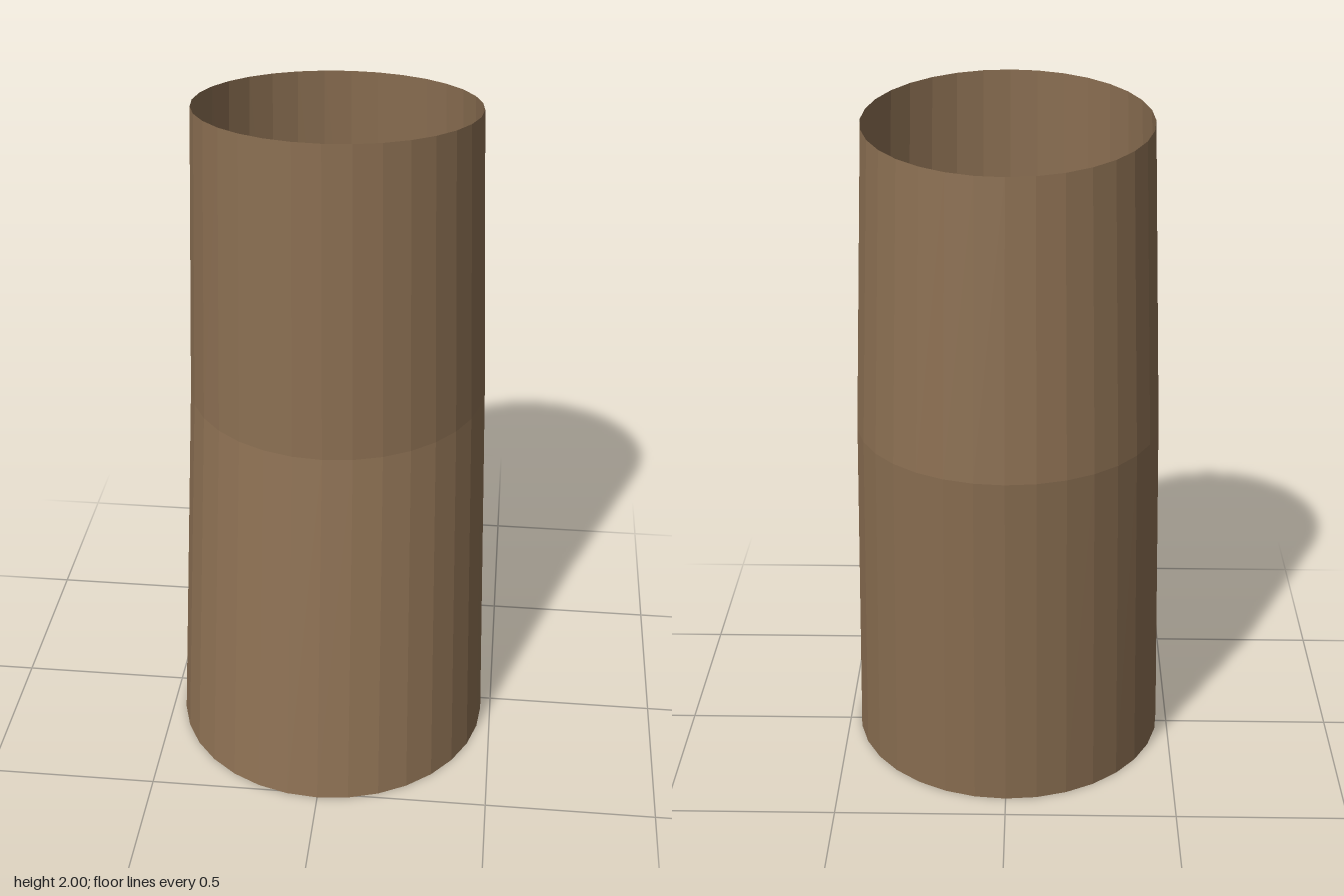
import * as THREE from 'three';

export function createModel() {
  const group = new THREE.Group();
  group.name = 'hollowTrunk';

  const bark = new THREE.MeshStandardMaterial({ color: 0x8b6f52, flatShading: true, side: THREE.DoubleSide });
  bark.name = 'bark brown';

  // Rings from bottom to top: half width, front z/y, back z/y
  const rings = [
    { rx: 0.47, front: [0.518, 0], back: [-0.422, 0] },
    { rx: 0.435, front: [0.352, 1.08], back: [-0.515, 1.08] },
    { rx: 0.4, front: [0.335, 2], back: [-0.462, 1.913] },
  ];

  // Open tube whose three rings are shifted, tapered and tilted
  const geometry = new THREE.CylinderGeometry(1, 1, 2, 32, 2, true);
  const pos = geometry.attributes.position;
  for (let i = 0; i < pos.count; i++) {
    const { rx, front, back } = rings[Math.round(pos.getY(i)) + 1];
    const t = (1 - pos.getZ(i)) / 2;
    pos.setXYZ(
      i,
      pos.getX(i) * rx,
      THREE.MathUtils.lerp(front[1], back[1], t),
      THREE.MathUtils.lerp(front[0], back[0], t)
    );
  }
  geometry.computeVertexNormals();

  const trunk = new THREE.Mesh(geometry, bark);
  trunk.name = 'trunkShell';
  group.add(trunk);
  return group;
}
